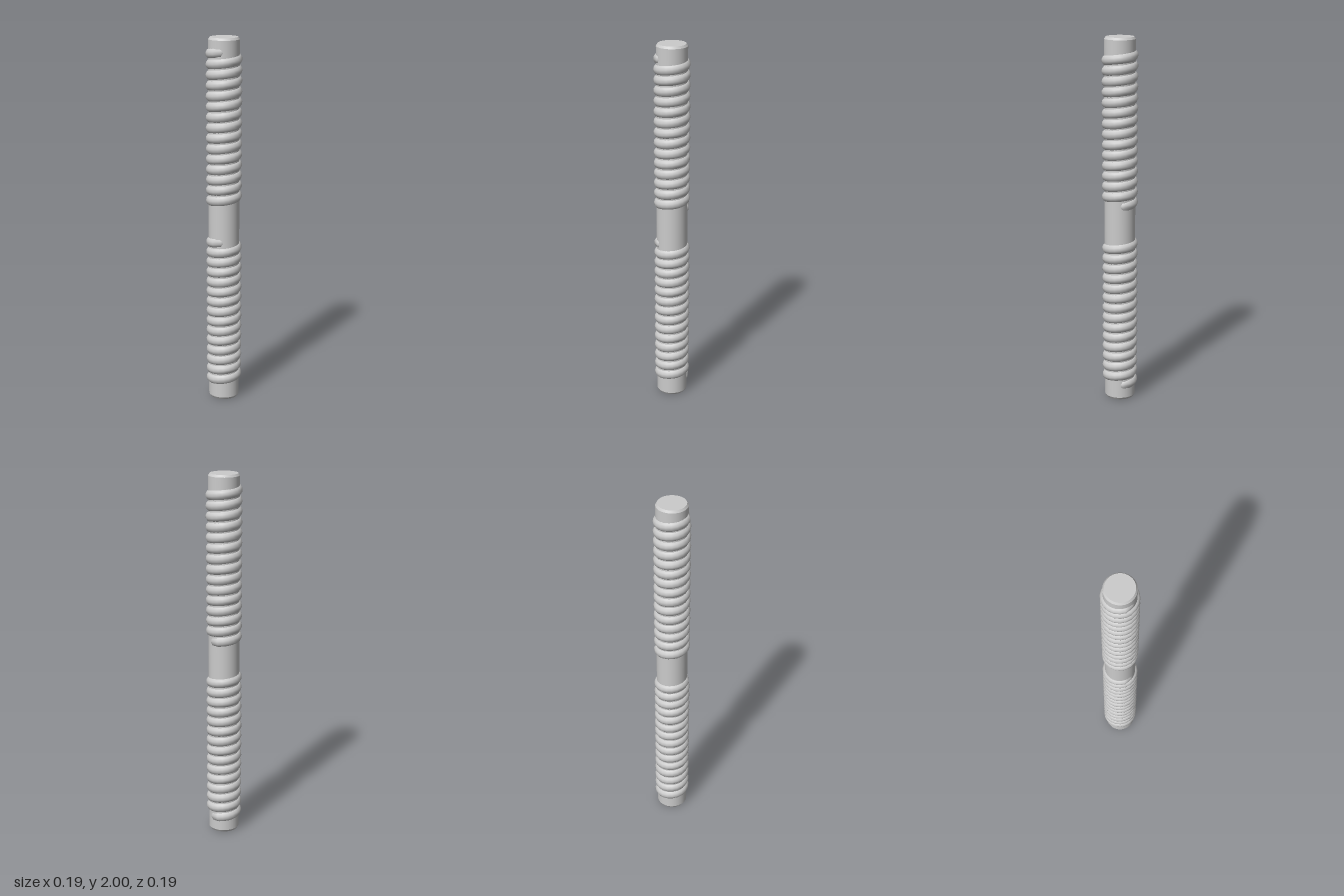
import * as THREE from 'three';
import { toCreasedNormals } from 'three/addons/utils/BufferGeometryUtils.js';

const CORE_R = 0.083;
const CORD_R = 0.03;
const HELIX_R = 0.067;
const TURNS = 14.75;

// Right-handed helix whose two ends dive into the core
class WrapCurve extends THREE.Curve {
  constructor(y0, y1) {
    super();
    this.y0 = y0;
    this.y1 = y1;
    this.arcLengthDivisions = 1200;
  }
  getPoint(t, target = new THREE.Vector3()) {
    const angle = Math.PI / 2 + t * TURNS * Math.PI * 2;
    const turnsFromEnd = Math.min(t, 1 - t) * TURNS;
    const r = HELIX_R - 0.03 * Math.max(0, 1 - turnsFromEnd / 0.12);
    return target.set(
      r * Math.sin(angle),
      THREE.MathUtils.lerp(this.y0, this.y1, t),
      r * Math.cos(angle)
    );
  }
}

export function createModel() {
  const group = new THREE.Group();
  group.name = 'wrappedRod';
  const material = new THREE.MeshStandardMaterial({ color: 0xcccccc });

  const add = (name, geometry) => {
    const mesh = new THREE.Mesh(geometry, material);
    mesh.name = name;
    group.add(mesh);
  };

  // Straight rod with bevelled ends
  const profile = [
    [0, 0], [0.075, 0], [CORE_R, 0.012],
    [CORE_R, 1.988], [0.075, 2], [0, 2],
  ].map(([r, y]) => new THREE.Vector2(r, y));
  add('rod', toCreasedNormals(new THREE.LatheGeometry(profile, 32), 0.5));

  // Cord wound around each half, leaving the middle bare
  const wrap = (y0, y1) =>
    new THREE.TubeGeometry(new WrapCurve(y0, y1), Math.round(TURNS * 20), CORD_R, 12, false);
  add('upperWrap', wrap(1.1, 1.93));
  add('lowerWrap', wrap(0.08, 0.91));

  return group;
}
